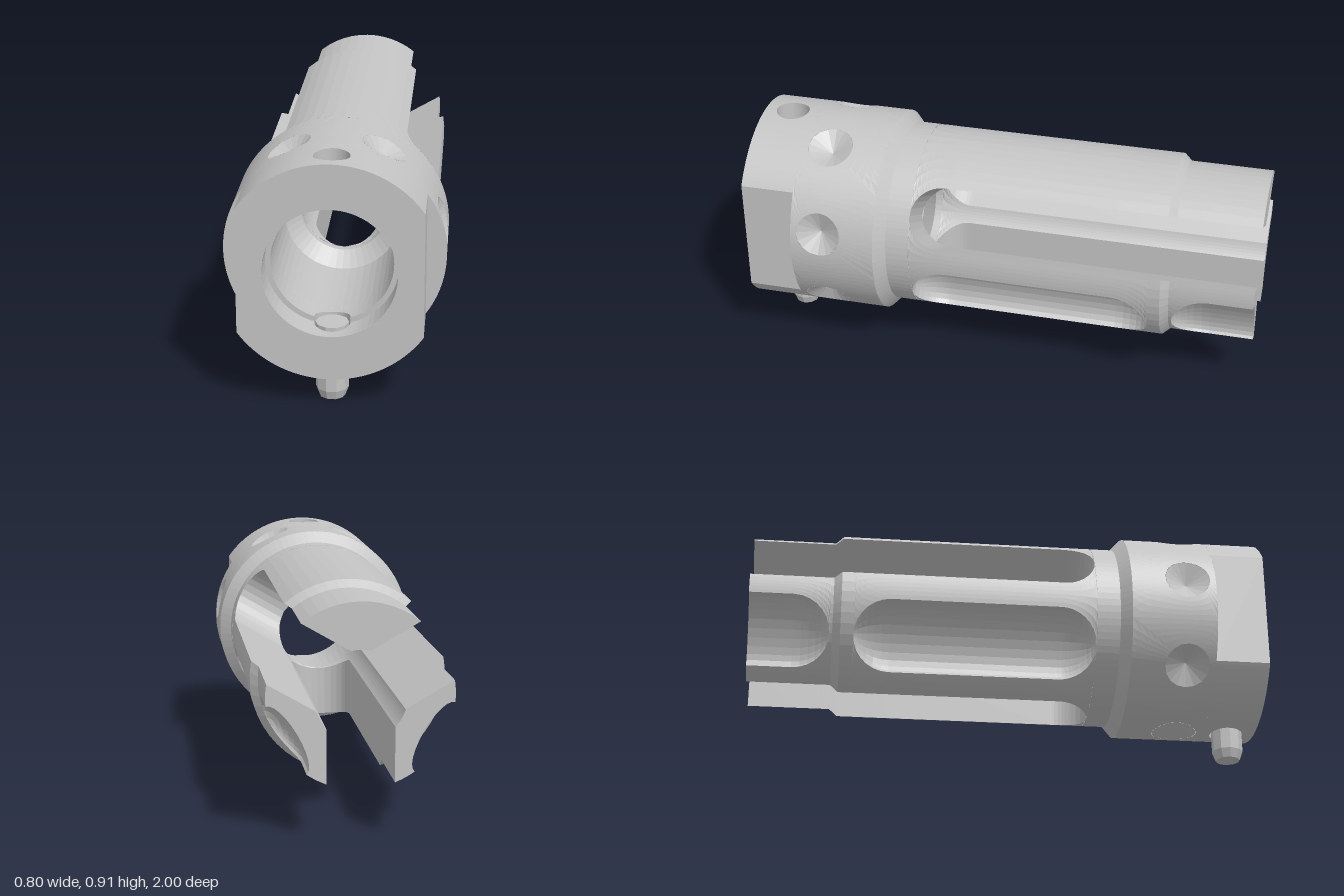
import * as THREE from 'three';

const AXIS_Y = 0.509;                // height of the tube axis
const RAD = Math.PI / 180;
const BORE = 0.163, BODY = 0.357, TIP = 0.33, COLLAR = 0.4;
const COUNTERBORE = 0.218, MOUTH = 0.237, FLAT_X = 0.328;
const HOLE = 0.065, HOLE_Z = 0.89;
const lerp = THREE.MathUtils.lerp;

const steel = new THREE.MeshStandardMaterial({ color: 0xc4c4c4, flatShading: true, side: THREE.DoubleSide });
steel.name = 'steel grey';

// point on a cylinder about the z axis
const polar = (r, angle, z) => [r * Math.cos(angle), r * Math.sin(angle), z];

// surface through rows of points
function grid(rows) {
  const n = rows[0].length, index = [];
  for (let i = 0; i < rows.length - 1; i++) {
    for (let j = 0; j < n - 1; j++) {
      const a = i * n + j, b = a + n;
      index.push(a, b, a + 1, b, b + 1, a + 1);
    }
  }
  const g = new THREE.BufferGeometry();
  g.setAttribute('position', new THREE.Float32BufferAttribute(rows.flat(2), 3));
  g.setIndex(index);
  g.computeVertexNormals();
  return g;
}

function lathe(points, segments) {
  const g = new THREE.LatheGeometry(points.map(p => new THREE.Vector2(p[0], p[1])), segments);
  return g.rotateX(Math.PI / 2);
}

// plain strip of a cylinder
function strip(r, a0, a1, z0, z1, n = 20) {
  const row = z => Array.from({ length: n + 1 }, (_, j) => polar(r, lerp(a0, a1, j / n), z));
  return grid([row(z0), row(z1)]);
}

// outline of a round hole on a cylinder of radius r, from azimuth a0 to a1
function rim(r, phi, zc, hole, a0, a1, n) {
  return Array.from({ length: n + 1 }, (_, j) => {
    const a = lerp(a0, a1, j / n);
    return polar(r, phi + Math.asin(hole * Math.cos(a) / r), zc + hole * Math.sin(a));
  });
}

// rectangular cylinder patch around a round hole
function patch(r, phi, half, z0, z1, zc, hole, a0 = 0, a1 = 2 * Math.PI, n = 48) {
  const rows = [], K = 5;
  for (let k = 0; k <= K; k++) {
    const row = [];
    for (let j = 0; j <= n; j++) {
      const a = lerp(a0, a1, j / n), c = Math.cos(a), s = Math.sin(a);
      const m = Math.max(Math.abs(c), Math.abs(s));
      const theta = lerp(Math.asin(hole * c / r), half * c / m, k / K);
      const z = lerp(hole * s, (s > 0 ? z1 - zc : zc - z0) * s / m, k / K);
      row.push(polar(r, phi + theta, zc + z));
    }
    rows.push(row);
  }
  return grid(rows);
}

// ---- prongs: cross-sections swept along z ----
const POCKET_W = 0.14, POCKET_D = 0.075, SLOT_R = 0.12, SLOT_Z = 0.21;

const outerRadius = z => lerp(BODY, TIP, THREE.MathUtils.clamp((-0.65 - z) / 0.03, 0, 1));
const slotHalf = z => z <= SLOT_Z ? SLOT_R : Math.sqrt(Math.max(0, SLOT_R ** 2 - (z - SLOT_Z) ** 2));
function pocketHalf(z) {
  const longPocket = Math.max(0, z - 0.19, -0.46 - z), endPocket = Math.max(0, z + 0.83);
  return Math.sqrt(Math.max(0, POCKET_W ** 2 - Math.min(longPocket, endPocket) ** 2));
}

function prongSection(phi, z, pocketed) {
  const R = outerRadius(z), h = slotHalf(z), w = pocketed ? pocketHalf(z) : 0;
  const alpha = 60 * RAD - Math.asin(h / R), beta = 60 * RAD - Math.asin(h / BORE);
  const gamma = Math.asin(w / R), top = R * Math.cos(gamma);
  const floor = w > 0.01 ? Math.min(top, TIP - POCKET_D * w / POCKET_W) : top;
  const pts = [];
  for (let i = 0; i <= 6; i++) pts.push(polar(R, phi + lerp(-alpha, -gamma, i / 6), z));
  for (let i = 1; i < 12; i++) {                       // rounded pocket floor
    const t = lerp(-Math.PI / 2, Math.PI / 2, i / 12);
    const p = lerp(top, floor, Math.cos(t)), q = w * Math.sin(t);
    pts.push(polar(Math.hypot(p, q), phi + Math.atan2(q, p), z));
  }
  for (let i = 0; i <= 6; i++) pts.push(polar(R, phi + lerp(gamma, alpha, i / 6), z));
  for (let i = 0; i <= 6; i++) pts.push(polar(BORE, phi + lerp(beta, -beta, i / 6), z));
  pts.push(pts[0]);
  return pts;
}

function prongStations() {
  const zs = [0.33, SLOT_Z, 0.19, -0.46, -0.65, -0.68, -0.83, -1];
  for (let i = 1; i <= 7; i++) {
    const s = Math.sin(i / 7 * Math.PI / 2);
    zs.push(SLOT_Z + SLOT_R * s, 0.19 + POCKET_W * s, -0.46 - POCKET_W * s, -0.83 + POCKET_W * s);
  }
  return [...new Set(zs.map(z => +z.toFixed(4)))].sort((a, b) => b - a);
}

export function createModel() {
  const model = new THREE.Group();
  model.name = 'slottedCollet';
  const tube = new THREE.Group();
  tube.name = 'tube';
  tube.position.y = AXIS_Y;
  model.add(tube);
  const add = (name, geometry, parent = tube) => {
    const mesh = new THREE.Mesh(geometry, steel);
    mesh.name = name;
    parent.add(mesh);
    return mesh;
  };

  // three prongs, the lower two with round-ended pockets
  const stations = prongStations();
  [['topProng', 90], ['rightProng', 210], ['leftProng', 330]].forEach(([name, deg], i) => {
    const rows = stations.map(z => prongSection(deg * RAD, z, i > 0));
    add(name, grid(rows));
    const end = rows[rows.length - 1].slice(0, -1).map(p => new THREE.Vector2(p[0], p[1]));
    add(name + 'End', new THREE.ShapeGeometry(new THREE.Shape(end))).position.z = -1;
  });

  // shoulder and bore
  add('shoulder', lathe([[BODY, 0.33], [BODY, 0.42], [COLLAR, 0.46]], 84));
  add('bore', lathe([[COUNTERBORE, 0.79], [COUNTERBORE, 0.42], [BORE, 0.36], [BORE, 0.33]], 48));

  // collar band with seven conical dimples
  for (let k = 0; k < 7; k++) {
    const phi = -Math.PI / 2 + k * 2 * Math.PI / 7, r = 0.087, z = 0.68;
    add('collarBand', patch(COLLAR, phi, Math.PI / 7, 0.46, 0.79, z, r));
    const edge = rim(COLLAR, phi, z, r, 0, 2 * Math.PI, 16);
    add('dimple', grid([edge.map(() => polar(COLLAR - 0.05, phi, z)), edge]));
  }

  // front collar with cross hole, stepped mouth and two wrench flats
  const flat = Math.acos(FLAT_X / COLLAR), outerHalf = 0.28, boreHalf = 0.48;
  for (const phi of [Math.PI / 2, -Math.PI / 2]) {
    add('frontCollar', patch(COLLAR, phi, outerHalf, 0.79, 1, HOLE_Z, HOLE));
    for (const side of [1, -1]) {
      add('frontCollar', strip(COLLAR, phi + side * outerHalf, phi + side * (Math.PI / 2 - flat), 0.79, 1));
    }
    for (const [r, a0, z0, z1] of [[MOUTH, 0, HOLE_Z, 1], [COUNTERBORE, Math.PI, 0.79, HOLE_Z]]) {
      const a1 = a0 + Math.PI;
      add('mouthBore', patch(r, phi, boreHalf, 0.79, 1, HOLE_Z, HOLE, a0, a1, 24));
      add('mouthBore', strip(r, phi + boreHalf, phi + Math.PI - boreHalf, z0, z1));
      add('crossHole', grid([rim(COLLAR, phi, HOLE_Z, HOLE, a0, a1, 24), rim(r, phi, HOLE_Z, HOLE, a0, a1, 24)]));
    }
  }
  const gap = Math.asin(HOLE / 0.228);
  for (const side of [1, -1]) {
    const start = (side > 0 ? -Math.PI / 2 : Math.PI / 2) + gap;
    add('mouthStep', new THREE.RingGeometry(COUNTERBORE, MOUTH, 24, 1, start, Math.PI - 2 * gap)).position.z = HOLE_Z;

    const plane = new THREE.PlaneGeometry(0.21, 2 * COLLAR * Math.sin(flat)).rotateY(side * Math.PI / 2);
    add('wrenchFlat', plane).position.set(side * FLAT_X, 0, 0.895);

    const segment = new THREE.Shape().absarc(0, 0, COLLAR, -flat, flat);
    const ledge = add('flatLedge', new THREE.ShapeGeometry(segment, 16));
    ledge.position.z = 0.79;
    ledge.rotation.z = side > 0 ? 0 : Math.PI;
  }
  const face = new THREE.Shape();
  face.absarc(0, 0, COLLAR, flat, Math.PI - flat);
  face.absarc(0, 0, COLLAR, Math.PI + flat, 2 * Math.PI - flat);
  face.holes.push(new THREE.Path().absarc(0, 0, MOUTH, 0, 2 * Math.PI, true));
  add('frontFace', new THREE.ShapeGeometry(face, 40)).position.z = 1;

  // locating pin hanging from the lower cross hole
  const profile = [[0, 0], [0.047, 0], [0.06, 0.035], [0.06, 0.285], [0, 0.285]];
  const pin = new THREE.LatheGeometry(profile.map(p => new THREE.Vector2(...p)), 10);
  add('locatingPin', pin.rotateY(Math.PI / 10), model).position.z = 0.893;
  return model;
}
